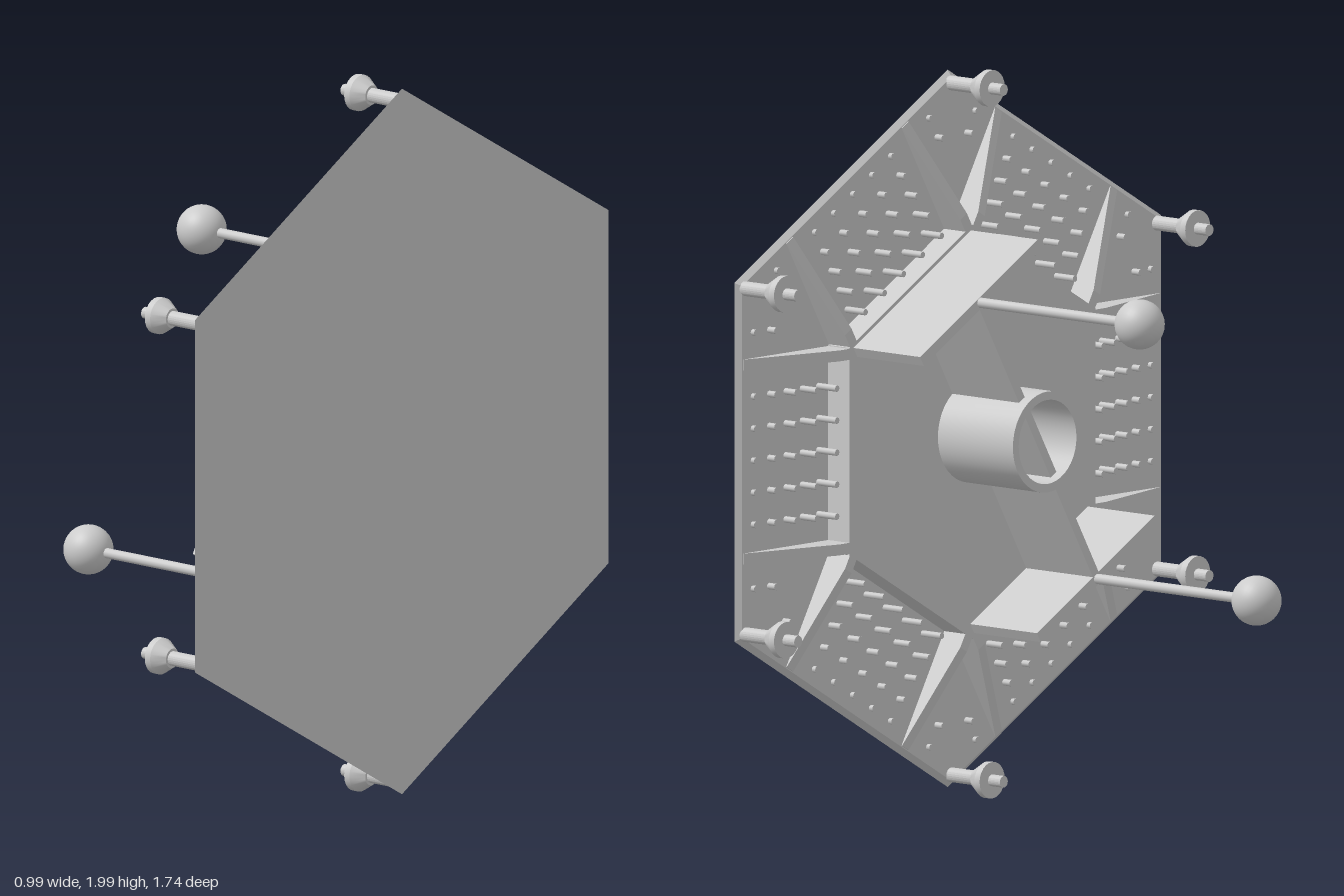
import * as THREE from 'three';
import { toCreasedNormals } from 'three/addons/utils/BufferGeometryUtils.js';

const material = new THREE.MeshStandardMaterial({ color: 0xcccccc });

function add(parent, name, geometry, x = 0, y = 0, z = 0) {
  const mesh = new THREE.Mesh(geometry, material);
  mesh.name = name;
  mesh.position.set(x, y, z);
  parent.add(mesh);
  return mesh;
}

// Cylinder or prism along z, from z0 to z1
function rod(r0, r1, z0, z1, sides) {
  const g = new THREE.CylinderGeometry(r1, r0, z1 - z0, sides);
  g.rotateX(Math.PI / 2).translate(0, 0, (z0 + z1) / 2);
  return sides === 6 ? toCreasedNormals(g, 0.3) : g;
}

// Turned part along z, with sharp profile corners
function turned(points, sides) {
  const g = new THREE.LatheGeometry(points.map(([r, h]) => new THREE.Vector2(r, h)), sides);
  return toCreasedNormals(g.rotateX(Math.PI / 2), 0.5);
}

export function createModel() {
  const model = new THREE.Group();
  model.name = 'hexagonalPanel';

  // Working frame: panel lies in local xy, depth grows along local z (world -x)
  const panel = new THREE.Group();
  panel.name = 'panel';
  panel.rotation.y = -Math.PI / 2;
  panel.position.set(0.492, 1.005, 0);
  model.add(panel);

  const base = 0.014, deck = 0.092, deckApothem = 0.49;
  add(panel, 'outerPlate', rod(0.98, 0.962, 0, base, 6));
  add(panel, 'raisedDeck', rod(0.566, 0.566, base, deck, 6));

  // Wedge fin running outward from the deck
  const finShape = new THREE.Shape([
    [deckApothem - 0.01, 0.01], [0.83, 0.01], [0.83, base + 0.002], [0.53, deck], [deckApothem - 0.01, deck],
  ].map(([x, y]) => new THREE.Vector2(x, y)));
  const finGeo = new THREE.ExtrudeGeometry(finShape, { depth: 0.03, bevelEnabled: false });
  finGeo.translate(0, 0, -0.015).rotateX(Math.PI / 2);

  // Pins get shorter toward the rim
  const pinRows = [0.53, 0.595, 0.66, 0.725, 0.79].map((d, i) => ({
    d, geo: rod(0.009, 0.009, base - 0.004, 0.084 - i * 0.0145, 8),
  }));

  for (let s = 0; s < 6; s++) {
    const side = new THREE.Group();
    side.name = 'side';
    side.rotation.z = s * Math.PI / 3;
    panel.add(side);
    for (const y of [-0.265, 0.265]) add(side, 'fin', finGeo, 0, y);
    for (const { d, geo } of pinRows) {
      for (let k = -4; k <= 4; k++) {
        const t = k * 0.0875;
        if (Math.abs(k) === 3 || Math.abs(t) > d * 0.577 - 0.06) continue;
        add(side, 'pin', geo, d, t);
      }
    }
  }

  // Corner posts with a flared collar
  const postGeo = turned([
    [0, 0.008], [0.02, 0.008], [0.02, 0.108], [0.027, 0.108], [0.05, 0.145],
    [0.05, 0.164], [0.016, 0.164], [0.016, 0.207], [0, 0.207],
  ], 24);
  for (let i = 0; i < 6; i++) {
    const a = Math.PI / 6 + i * Math.PI / 3;
    add(panel, 'cornerPost', postGeo, 0.945 * Math.cos(a), 0.945 * Math.sin(a));
  }

  // Central beam: two flanges joined by a web
  const beam = new THREE.Group();
  beam.name = 'beam';
  beam.rotation.z = 2 * Math.PI / 3;
  panel.add(beam);
  const top = 0.337, depth = top - deck + 0.01, mid = top - depth / 2;
  add(beam, 'web', new THREE.BoxGeometry(0.92, 0.026, depth), 0, 0, mid);
  for (const x of [-0.465, 0.465]) {
    add(beam, 'flange', new THREE.BoxGeometry(0.03, 0.54, depth), x, 0, mid);
    add(beam, 'antennaRod', rod(0.014, 0.014, top - 0.05, 0.9, 16), x, 0);
    add(beam, 'antennaBall', new THREE.SphereGeometry(0.068, 32, 20), x, 0, 0.922);
  }

  // Open tube around the middle of the web
  add(panel, 'centreTube', turned([
    [0.115, deck - 0.01], [0.138, deck - 0.01], [0.138, 0.368], [0.115, 0.368], [0.115, deck - 0.01],
  ], 40));

  return model;
}
